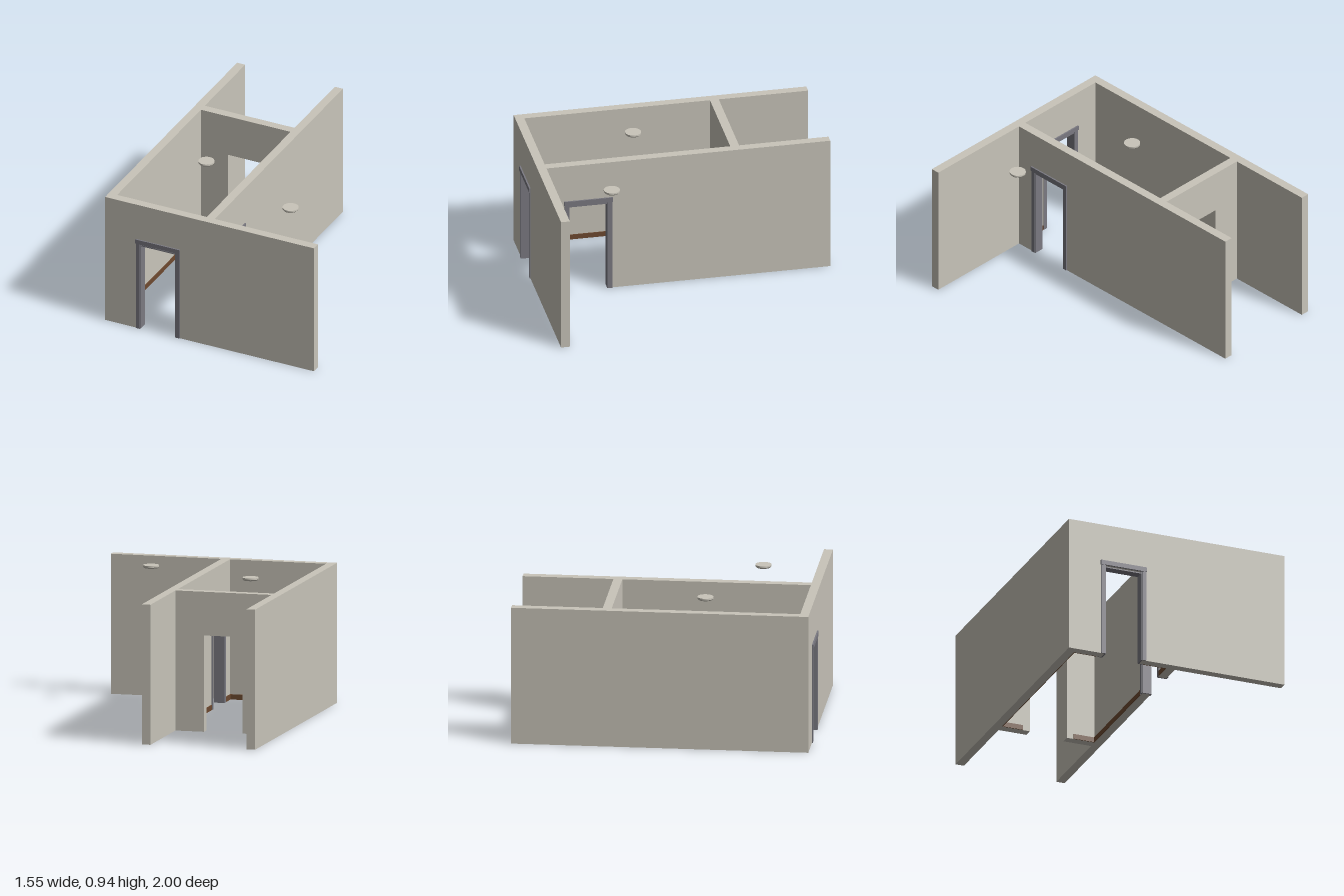
import * as THREE from 'three';

const H = 0.945;    // wall height
const T = 0.06;     // wall thickness
const DOOR = 0.65;  // doorway height

function material(name, color) {
  const m = new THREE.MeshStandardMaterial({ color });
  m.name = name;
  return m;
}

export function createModel() {
  const plaster = material('plaster', 0xc9c5ba);
  const frameGrey = material('frameGrey', 0x7b7a82);
  const brown = material('brown', 0x6e4a30);
  const model = new THREE.Group();
  model.name = 'roomLayout';

  // Box given by its minimum and maximum corners
  function box(name, mat, a, b, parent = model) {
    const mesh = new THREE.Mesh(new THREE.BoxGeometry(b[0] - a[0], b[1] - a[1], b[2] - a[2]), mat);
    mesh.position.set((a[0] + b[0]) / 2, (a[1] + b[1]) / 2, (a[2] + b[2]) / 2);
    mesh.name = name;
    parent.add(mesh);
    return mesh;
  }

  function cylinder(name, mat, rTop, rBottom, y0, y1, x, z, parent = model) {
    const mesh = new THREE.Mesh(new THREE.CylinderGeometry(rTop, rBottom, y1 - y0, 32), mat);
    mesh.position.set(x, (y0 + y1) / 2, z);
    mesh.name = name;
    parent.add(mesh);
  }

  // Wall along local x from x0 to x1 with a doorway from d0 to d1
  function wallWithDoor(name, x0, x1, d0, d1, thickness, parent) {
    const s = new THREE.Shape();
    [[x0, 0], [d0, 0], [d0, DOOR], [d1, DOOR], [d1, 0], [x1, 0], [x1, H], [x0, H]]
      .forEach(([x, y], i) => (i ? s.lineTo(x, y) : s.moveTo(x, y)));
    const mesh = new THREE.Mesh(
      new THREE.ExtrudeGeometry(s, { depth: thickness, bevelEnabled: false }), plaster);
    mesh.name = name;
    parent.add(mesh);
  }

  // Lining inside the doorway plus trim on both wall faces
  function doorFrame(name, d0, d1, headTop, parent) {
    const g = new THREE.Group();
    g.name = name;
    parent.add(g);
    for (const [a, b] of [[d0, d0 + 0.009], [d1 - 0.009, d1]]) {
      box('doorLining', frameGrey, [a, 0, -0.002], [b, DOOR, T + 0.002], g);
    }
    box('headLining', frameGrey, [d0 + 0.009, 0.634, 0], [d1 - 0.009, headTop, T], g);
    for (const [za, zb, out] of [[T, T + 0.006, 1], [-0.006, 0, -1]]) {
      box('jambTrim', frameGrey, [d0 - 0.025, 0, za], [d0 + 0.004, DOOR, zb], g);
      box('jambTrim', frameGrey, [d1 - 0.004, 0, za], [d1 + 0.025, DOOR, zb], g);
      const z = out > 0 ? [T, T + 0.01] : [-0.01, 0];
      box('headTrim', frameGrey, [d0 - 0.028, DOOR, z[0]], [d1 + 0.028, 0.682, z[1]], g);
    }
  }

  // Front wall with its doorway
  const front = new THREE.Group();
  front.name = 'frontWallGroup';
  front.position.z = 0.93;
  model.add(front);
  wallWithDoor('frontWall', -0.775, 0.775, -0.519, -0.246, T, front);
  doorFrame('frontDoorFrame', -0.519, -0.246, 0.642, front);

  // Inner side wall with its doorway: local x runs along +z
  const side = new THREE.Group();
  side.name = 'sideWallGroup';
  side.rotation.y = -Math.PI / 2;
  side.position.x = 0.01;
  model.add(side);
  wallWithDoor('sideWall', -1, 0.93, 0.508, 0.782, T, side);
  doorFrame('sideDoorFrame', 0.508, 0.782, DOOR, side);

  // Plain outer wall and partition with an untrimmed opening
  box('outerWall', plaster, [-0.775, 0, -1], [-0.715, H, 0.93]);
  const partition = new THREE.Group();
  partition.name = 'partitionGroup';
  partition.position.z = -0.392;
  model.add(partition);
  wallWithDoor('partition', -0.715, -0.05, -0.515, -0.248, T, partition);

  // Skirting boards around the closed room
  const B = 0.035, t = 0.005;
  box('skirting', brown, [-0.715, 0, -0.332], [-0.715 + t, B, 0.93]);
  for (const [a, b] of [[-0.332, 0.48], [0.808, 0.93]]) {
    box('skirting', brown, [-0.05 - t, 0, a], [-0.05, B, b]);
  }
  for (const [a, b] of [[-0.71, -0.546], [-0.219, -0.055]]) {
    box('skirting', brown, [a, 0, 0.93 - t], [b, B, 0.93]);
  }
  for (const [a, b] of [[-0.71, -0.565], [-0.2, -0.055]]) {
    box('skirting', brown, [a, 0, -0.332], [b, B, -0.332 + t]);
  }

  // Ceiling discs, narrowing slightly at the underside
  for (const [x, z] of [[-0.383, 0.26], [0.392, 0.565]]) {
    cylinder('ceilingDisc', plaster, 0.054, 0.054, 0.934, H, x, z);
    cylinder('ceilingDiscBase', plaster, 0.054, 0.047, 0.926, 0.934, x, z);
  }

  // Small wall-mounted canister with bracket
  cylinder('canister', brown, 0.024, 0.024, 0.105, 0.24, -0.682, 0.015);
  box('canisterBracket', brown, [-0.715, 0.18, 0.008], [-0.69, 0.21, 0.03]);

  return model;
}
